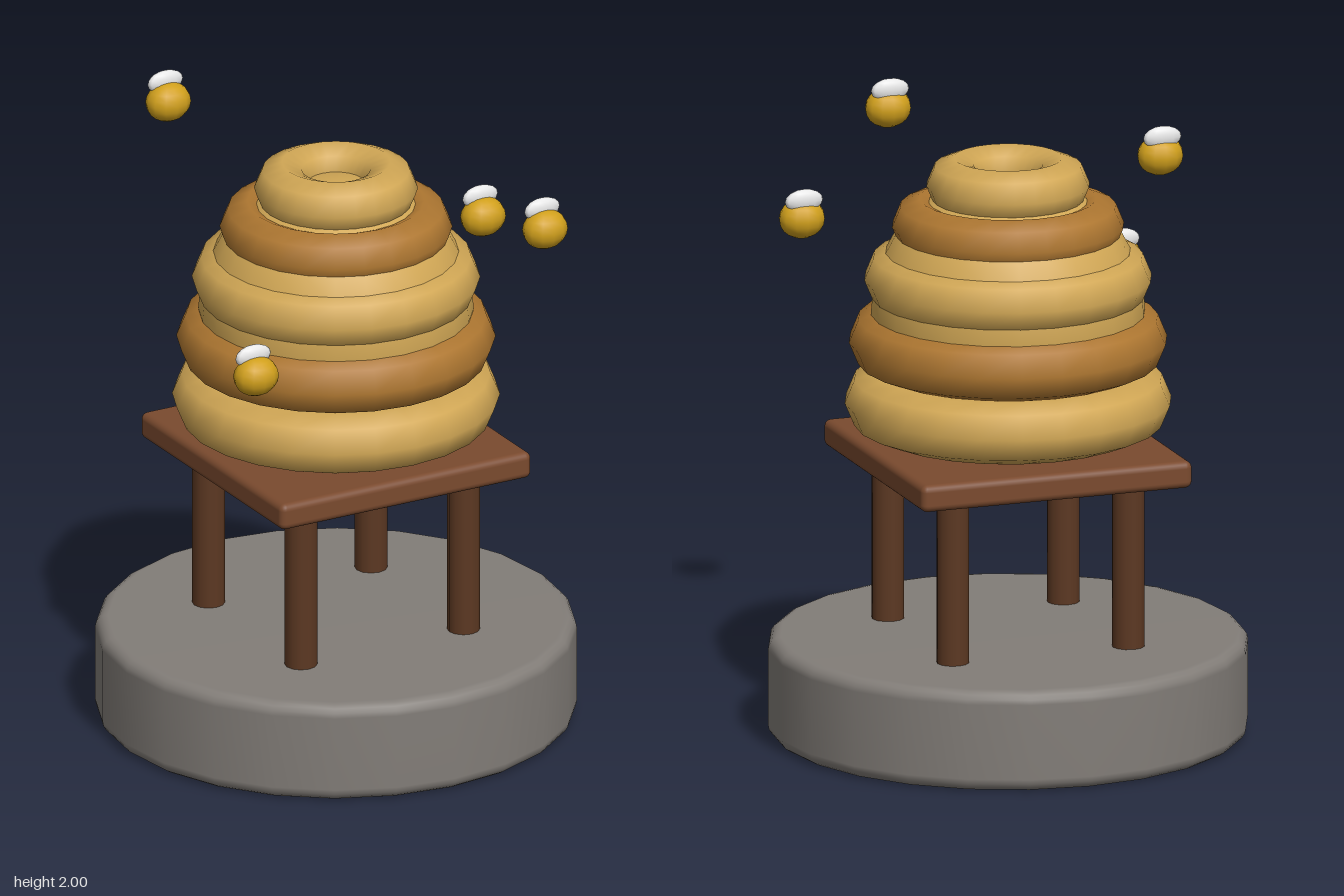
import * as THREE from 'three';
import { RoundedBoxGeometry } from 'three/addons/geometries/RoundedBoxGeometry.js';

const material = (name, color) => {
  const m = new THREE.MeshStandardMaterial({ color });
  m.name = name;
  return m;
};

export function createModel() {
  const stone = material('stone grey', 0x827d78);
  const wood = material('board brown', 0x7a4a2e);
  const darkWood = material('leg brown', 0x5c3822);
  const straw = material('light straw', 0xd1a755);
  const honey = material('dark honey', 0xae7731);
  const yellow = material('bee yellow', 0xd1a01c);
  const white = material('wing white', 0xe6e6e6);

  const model = new THREE.Group();
  model.name = 'beehive';
  const add = (parent, name, geometry, mat, x = 0, y = 0, z = 0) => {
    const mesh = new THREE.Mesh(geometry, mat);
    mesh.name = name;
    mesh.position.set(x, y, z);
    parent.add(mesh);
    return mesh;
  };

  // Round stone base with softened rims
  const R = 0.735, H = 0.315, b = 0.04;
  const profile = [new THREE.Vector2(0, 0)];
  for (const [cy, start] of [[b, -Math.PI / 2], [H - b, 0]]) {
    for (let i = 0; i <= 4; i++) {
      const a = start + (i / 4) * Math.PI / 2;
      profile.push(new THREE.Vector2(R - b + b * Math.cos(a), cy + b * Math.sin(a)));
    }
  }
  profile.push(new THREE.Vector2(0, H));
  add(model, 'stoneBase', new THREE.LatheGeometry(profile, 24), stone);

  // Four-legged stand
  const legGeometry = new THREE.CylinderGeometry(0.05, 0.05, 0.56, 12);
  for (const x of [-0.285, 0.285])
    for (const z of [-0.285, 0.285])
      add(model, 'standLeg', legGeometry, darkWood, x, 0.57, z);
  add(model, 'standBoard', new RoundedBoxGeometry(0.88, 0.085, 0.88, 3, 0.022), wood, 0, 0.877, 0);

  // Hive: inner core wrapped in stacked coils [height, ring radius, tube radius]
  add(model, 'hiveCore', new THREE.SphereGeometry(0.42, 24, 16), straw, 0, 1.33, 0);
  const coils = [
    [1.047, 0.4, 0.1],
    [1.238, 0.39, 0.097],
    [1.433, 0.345, 0.095],
    [1.598, 0.27, 0.085],
    [1.725, 0.165, 0.085],
  ];
  coils.forEach(([y, radius, tube], i) => {
    const geometry = new THREE.TorusGeometry(radius, tube, 8, 24).rotateX(-Math.PI / 2);
    add(model, 'hiveCoil', geometry, i % 2 ? honey : straw, 0, y, 0);
  });

  // Bees hovering around the hive
  const bodyGeometry = new THREE.SphereGeometry(0.06, 12, 10).scale(1.22, 1.03, 0.98);
  const wingGeometry = new THREE.SphereGeometry(1, 12, 8).scale(0.062, 0.036, 0.021);
  const bees = [
    [-0.32, 1.905, -0.472],
    [0.155, 1.825, 0.634],
    [0.552, 1.59, 0.318],
    [-0.508, 1.35, 0.4],
  ];
  for (const [x, y, z] of bees) {
    const bee = new THREE.Group();
    bee.name = 'bee';
    bee.position.set(x, y, z);
    add(bee, 'beeBody', bodyGeometry, yellow);
    add(bee, 'beeWing', wingGeometry, white, 0, 0.06, -0.018);
    model.add(bee);
  }
  return model;
}
